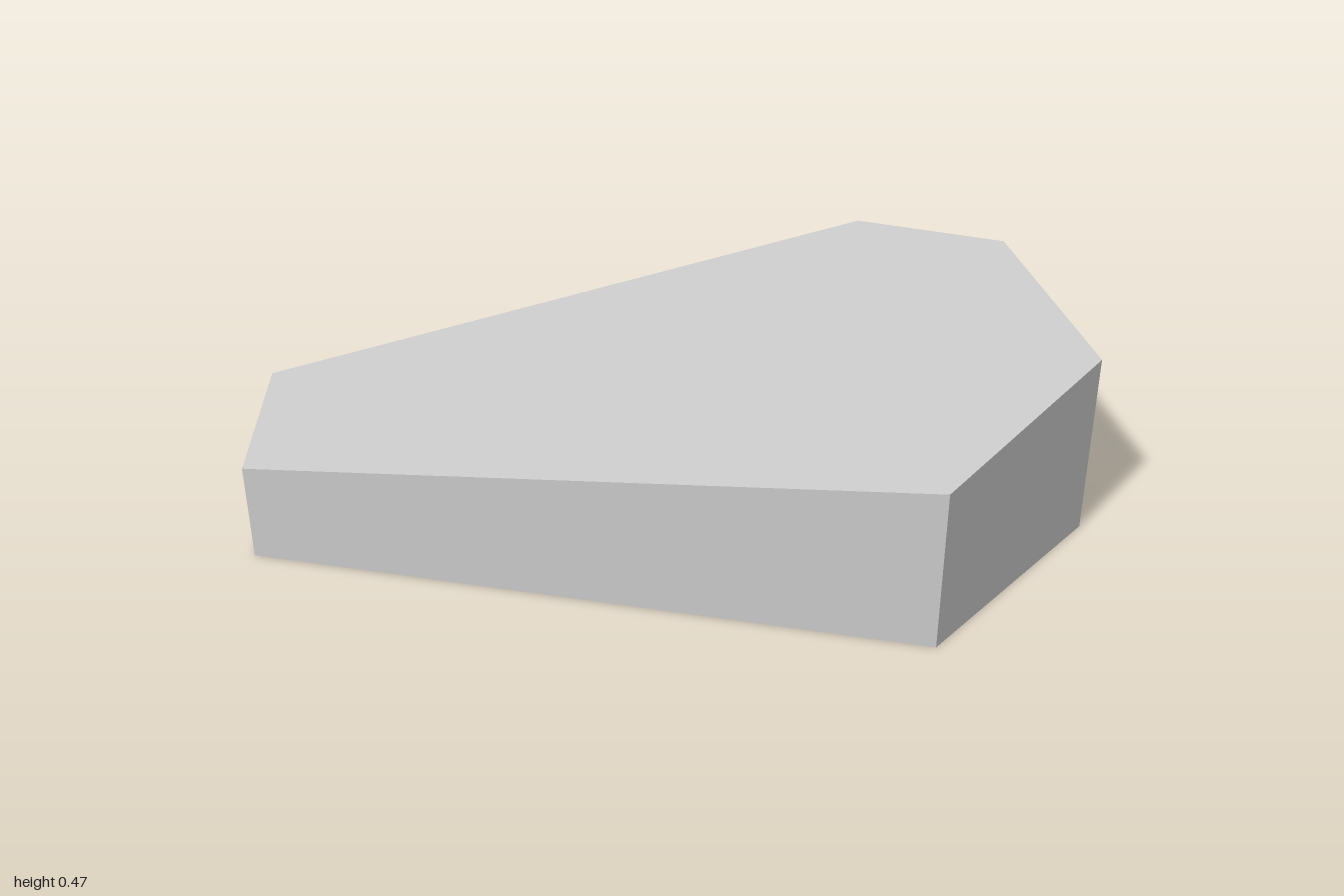
import * as THREE from 'three';

// Outline seen from above, counterclockwise: x, z, and whether shading is smooth round the corner
const OUTLINE = [
  [-0.89, 0.625, false],
  [0.705, 0.625, false],
  [1, 0.08, false],
  [0.745, -0.505, true],
  [0.35, -0.625, true],
  [-1, 0.215, false],
];

// Height of the sloping top plane
const topY = (x, z) => 0.395 + 0.0972 * (x - 0.705) - 0.061 * (z - 0.625);

export function createModel() {
  const grey = new THREE.MeshStandardMaterial({ color: 0xcccccc });
  grey.name = 'grey';

  const count = OUTLINE.length;
  const low = OUTLINE.map(([x, z]) => new THREE.Vector3(x, 0, z));
  const high = OUTLINE.map(([x, z]) => new THREE.Vector3(x, topY(x, z), z));
  const positions = [];
  const normals = [];
  const corner = (point, normal) => {
    positions.push(...point.toArray());
    normals.push(...normal.toArray());
  };

  // Outward normal of each side wall, blended at the smooth corners
  const wall = low.map((p, i) => {
    const q = low[(i + 1) % count];
    return new THREE.Vector3(p.z - q.z, 0, q.x - p.x).normalize();
  });
  const normalAt = (i, side) => OUTLINE[i][2]
    ? wall[i].clone().add(wall[(i + count - 1) % count]).normalize()
    : wall[side];

  // Side walls
  for (let i = 0; i < count; i++) {
    const j = (i + 1) % count;
    const a = normalAt(i, i);
    const b = normalAt(j, i);
    corner(low[i], a); corner(low[j], b); corner(high[j], b);
    corner(low[i], a); corner(high[j], b); corner(high[i], a);
  }

  // Sloping top and flat base
  const up = new THREE.Vector3(-0.0972, 1, 0.061).normalize();
  const down = new THREE.Vector3(0, -1, 0);
  for (let i = 1; i < count - 1; i++) {
    [high[0], high[i], high[i + 1]].forEach((p) => corner(p, up));
    [low[0], low[i + 1], low[i]].forEach((p) => corner(p, down));
  }

  const geometry = new THREE.BufferGeometry();
  geometry.setAttribute('position', new THREE.Float32BufferAttribute(positions, 3));
  geometry.setAttribute('normal', new THREE.Float32BufferAttribute(normals, 3));

  const slab = new THREE.Mesh(geometry, grey);
  slab.name = 'slopingSlab';
  const group = new THREE.Group();
  group.name = 'rockSlab';
  group.add(slab);
  return group;
}
